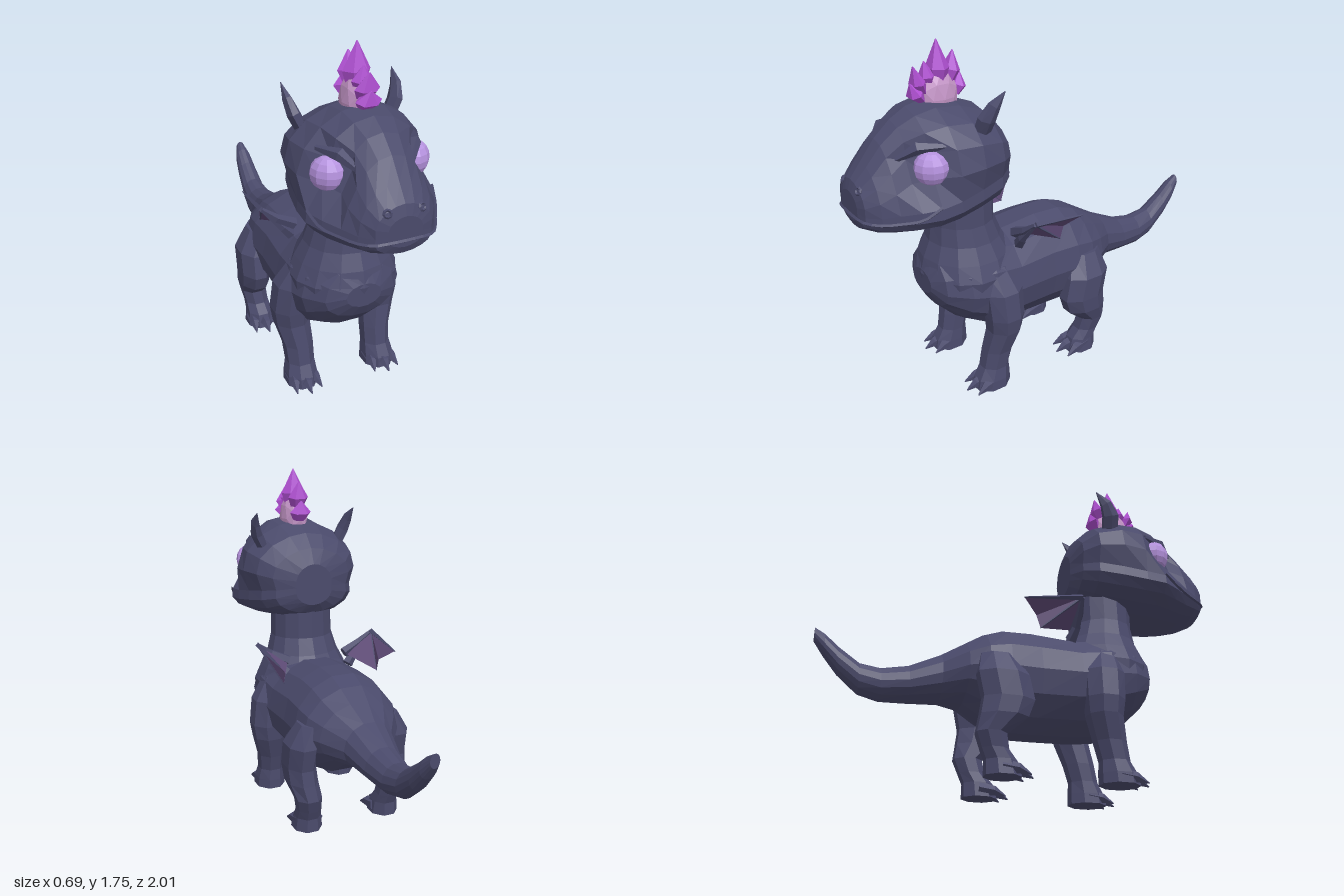
import * as THREE from 'three';

const mat = (name, color) => Object.assign(new THREE.MeshStandardMaterial({ color }), { name });
const V = (x, y, z) => new THREE.Vector3(x, y, z);

export function createModel() {
  const root = new THREE.Group();
  root.name = 'dragon';
  const skin = mat('slate skin', 0x4a4a6b);
  const eyeLilac = mat('lilac eye', 0xb592de);
  const crystal = mat('magenta crystal', 0xae4fd0);
  const crystalCore = mat('pale pink crystal', 0xc596c8);
  const webbing = mat('plum webbing', 0x5e4a76);
  webbing.side = THREE.DoubleSide;

  const add = (name, geo, material) => {
    const g = geo.index ? geo.toNonIndexed() : geo;
    g.computeVertexNormals(); // separate triangles give facets
    const mesh = new THREE.Mesh(g, material);
    mesh.name = name;
    root.add(mesh);
    return mesh;
  };

  // Closed skin over a list of rings, wound so that it faces outward
  const loft = (rings) => {
    const n = rings[0].length, tris = [];
    for (let i = 0; i < rings.length - 1; i++) {
      for (let j = 0; j < n; j++) {
        const k = (j + 1) % n, [p, q] = [rings[i], rings[i + 1]];
        tris.push([p[j], p[k], q[k]], [p[j], q[k], q[j]]);
      }
    }
    const cap = (ring, flip) => {
      const c = ring.reduce((s, p) => s.add(p), V(0, 0, 0)).divideScalar(n);
      ring.forEach((p, j) => {
        const q = ring[(j + 1) % n];
        tris.push(flip ? [c, q, p] : [c, p, q]);
      });
    };
    cap(rings[0], true);
    cap(rings[rings.length - 1], false);
    const o = rings[0][0];
    const volume = tris.reduce((s, [a, b, c]) =>
      s + a.clone().sub(o).dot(b.clone().sub(o).cross(c.clone().sub(o))), 0);
    const pts = tris.flatMap(([a, b, c]) => (volume < 0 ? [a, c, b] : [a, b, c]));
    return new THREE.BufferGeometry().setFromPoints(pts);
  };

  // Upright ring: z, top, widest height, bottom, half width, pinch of the upper half; jowl fills the lower half
  const zPoint = ([z, top, mid, bot, w, pinch = 0], a, jowl) => {
    const s = Math.sin(a), up = s >= 0;
    const k = (up ? pinch : -jowl) * Math.abs(Math.sin(2 * a));
    return V(w * Math.cos(a) * (1 - k), mid + s * (up ? top - mid : mid - bot), z);
  };
  const zRing = (sec, n, jowl) =>
    Array.from({ length: n }, (_, i) => zPoint(sec, (i / n) * Math.PI * 2, jowl));

  // Level ring: y, centre x, centre z, half width, half depth
  const yRing = ([y, cx, cz, rx, rz], n, side = 1) => Array.from({ length: n }, (_, i) => {
    const a = ((i + 0.5) / n) * Math.PI * 2;
    return V(side * (cx + rx * Math.cos(a)), y, cz + rz * Math.sin(a));
  });

  // Tapered rod along a path
  const taper = (path, radii, n = 5, squash = 1) => {
    const pts = path.map((p) => V(...p));
    const dir = pts[pts.length - 1].clone().sub(pts[0]).normalize();
    const ref = Math.abs(dir.z) > 0.8 ? V(0, 1, 0) : V(0, 0, 1);
    return loft(pts.map((p, i) => {
      const t = pts[Math.min(i + 1, pts.length - 1)].clone().sub(pts[Math.max(i - 1, 0)]).normalize();
      const u = t.clone().cross(ref).normalize(), v = t.clone().cross(u);
      return Array.from({ length: n }, (_, j) => {
        const a = (j / n) * Math.PI * 2;
        return p.clone().addScaledVector(u, radii[i] * squash * Math.cos(a)).addScaledVector(v, radii[i] * Math.sin(a));
      });
    }));
  };

  // Torso running into the upturned tail
  add('bodyAndTail', loft([
    [0.67, 0.64, 0.58, 0.52, 0.09], [0.63, 0.73, 0.56, 0.45, 0.18], [0.53, 0.78, 0.55, 0.35, 0.255],
    [0.40, 0.80, 0.53, 0.27, 0.285], [0.25, 0.77, 0.52, 0.255, 0.275], [0.05, 0.79, 0.52, 0.25, 0.265],
    [-0.10, 0.785, 0.52, 0.25, 0.27], [-0.20, 0.75, 0.52, 0.32, 0.26], [-0.29, 0.695, 0.52, 0.38, 0.215],
    [-0.40, 0.63, 0.50, 0.39, 0.135], [-0.55, 0.56, 0.46, 0.38, 0.10], [-0.68, 0.535, 0.45, 0.375, 0.08],
    [-0.78, 0.55, 0.475, 0.40, 0.065], [-0.88, 0.62, 0.55, 0.485, 0.055],
    [-0.95, 0.68, 0.62, 0.57, 0.045], [-1, 0.71, 0.675, 0.64, 0.025],
  ].map((s) => zRing(s, 14, 0))), skin);

  // Neck
  add('neck', loft([
    [0.52, 0, 0.44, 0.26, 0.22], [0.62, 0, 0.435, 0.27, 0.24], [0.70, 0, 0.43, 0.235, 0.225], [0.78, 0, 0.435, 0.195, 0.185],
    [0.87, 0, 0.445, 0.17, 0.16], [1.02, 0, 0.445, 0.165, 0.16],
  ].map((s) => yRing(s, 14))), skin);

  // Head, with the sides pressed in for the eye sockets
  const jowl = 0.12;
  const headSections = [
    [0.255, 1.28, 1.16, 1.06, 0.10, -0.1], [0.29, 1.36, 1.15, 1.01, 0.20, -0.25],
    [0.36, 1.43, 1.14, 0.975, 0.255, -0.28], [0.48, 1.48, 1.12, 0.955, 0.285, -0.27],
    [0.60, 1.495, 1.10, 0.94, 0.303, -0.12], [0.70, 1.475, 1.09, 0.935, 0.305, 0.03],
    [0.78, 1.43, 1.08, 0.93, 0.27, 0.2], [0.86, 1.36, 1.07, 0.935, 0.222, 0.14],
    [0.93, 1.27, 1.06, 0.95, 0.18, 0], [0.985, 1.20, 1.06, 0.975, 0.13, -0.1],
    [1.0, 1.15, 1.07, 1.01, 0.08, -0.1],
  ];
  add('head', loft(headSections.map((s) => zRing(s, 20, jowl).map((p) => {
    const d = V(Math.abs(p.x), p.y, p.z).distanceTo(V(0.24, 1.25, 0.73)) / 0.14;
    if (d < 1) p.x -= Math.sign(p.x) * 0.065 * (1 - d * d);
    return p;
  }))), skin);

  // Lip following the jaw round the snout
  const lip = [1.10, 1.05, 1.035, 1.03, 1.035, 1.04].map((y, i) => {
    const s = headSections[i + 5], h = y - s[2];
    return zPoint(s, Math.asin(h / (h > 0 ? s[1] - s[2] : s[2] - s[3])), jowl);
  });
  const lipPath = [...lip, ...lip.slice().reverse().map((p) => V(-p.x, p.y, p.z))];
  add('lip', new THREE.TubeGeometry(new THREE.CatmullRomCurve3(lipPath), 24, 0.008, 4), skin);

  // Crystal crest: base z and y, tip z and y, radius, sideways width factor
  const core = add('crestCore', new THREE.IcosahedronGeometry(1, 1), crystalCore);
  core.position.set(0, 1.49, 0.535);
  core.scale.set(0.07, 0.135, 0.1);
  [
    [0.62, 1.49, 0.67, 1.57, 0.035, 1.8], [0.61, 1.52, 0.65, 1.645, 0.032, 1.9], [0.53, 1.54, 0.53, 1.75, 0.05, 1.35],
    [0.575, 1.55, 0.595, 1.66, 0.035, 1.5], [0.48, 1.55, 0.45, 1.69, 0.038, 1.5], [0.45, 1.49, 0.42, 1.59, 0.035, 1.7],
  ].forEach(([z0, y0, z1, y1, r, wide]) => {
    add('crestSpike', taper([
      [0, y0, z0], [0, y0 + (y1 - y0) * 0.4, z0 + (z1 - z0) * 0.6], [0, y1, z1],
    ], [r * 0.6, r, 0.002], 6, wide), crystal);
  });

  // Paired parts
  for (const s of [1, -1]) {
    const m = (path) => path.map(([x, y, z]) => [s * x, y, z]);

    const eye = add('eye', new THREE.SphereGeometry(1, 10, 8), eyeLilac);
    eye.position.set(s * 0.21, 1.25, 0.697);
    eye.scale.set(0.08, 0.078, 0.064);
    eye.rotation.y = s * 0.85;

    add('brow', taper(m([[0.12, 1.29, 0.82], [0.175, 1.345, 0.74], [0.232, 1.345, 0.63]]), [0.012, 0.03, 0.012]), skin);
    add('horn', taper(m([[0.22, 1.37, 0.44], [0.25, 1.43, 0.435], [0.266, 1.49, 0.405], [0.273, 1.55, 0.35]]),
      [0.045, 0.047, 0.034, 0.002], 6, 0.65), skin);

    const nostril = add('nostril', new THREE.TorusGeometry(0.015, 0.007, 4, 8), skin);
    nostril.position.set(s * 0.08, 1.17, 0.985);
    nostril.rotation.set(-0.4, s * 0.3, 0);

    add('frontLeg', loft([
      [0, 0.215, 0.425, 0.085, 0.1], [0.05, 0.215, 0.42, 0.082, 0.095], [0.11, 0.212, 0.405, 0.073, 0.075],
      [0.2, 0.215, 0.385, 0.077, 0.08], [0.32, 0.235, 0.355, 0.092, 0.09], [0.4, 0.245, 0.355, 0.095, 0.1],
      [0.54, 0.235, 0.36, 0.088, 0.105], [0.66, 0.19, 0.38, 0.055, 0.08],
    ].map((r) => yRing(r, 8, s))), skin);

    add('hindLeg', loft([
      [0, 0.22, -0.135, 0.078, 0.09], [0.07, 0.22, -0.145, 0.07, 0.078], [0.12, 0.225, -0.175, 0.065, 0.068],
      [0.19, 0.235, -0.195, 0.07, 0.075], [0.27, 0.25, -0.14, 0.08, 0.12], [0.35, 0.255, -0.12, 0.08, 0.13],
      [0.47, 0.25, -0.145, 0.085, 0.13], [0.58, 0.2, -0.16, 0.07, 0.09],
    ].map((r) => yRing(r, 8, s))), skin);

    // Toes with pointed claws
    for (const [name, z] of [['frontToe', 0.57], ['hindToe', 0.01]]) {
      for (const dx of [-0.055, 0, 0.055]) {
        const end = z - Math.abs(dx) * 0.5;
        add(name, taper(m([[0.215 + dx * 0.8, 0.04, end - 0.13], [0.215 + dx, 0.03, end - 0.055], [0.215 + dx * 1.2, 0.006, end]]),
          [0.035, 0.025, 0.003]), skin);
      }
    }

    // Small folded wing: webbing between an arm and two fingers
    const joint = [0.165, 0.78, 0.235], wrist = [0.33, 0.885, 0.23], back = [0.32, 0.85, -0.06], low = [0.265, 0.725, 0.035];
    const mid = [0.265, 0.79, 0.015];
    const web = [wrist, back, mid, wrist, mid, low, wrist, low, joint];
    add('wingWebbing', new THREE.BufferGeometry().setFromPoints(m(web).map((p) => V(...p))), webbing);
    add('wingArm', taper(m([joint, [0.26, 0.83, 0.24], wrist]), [0.03, 0.022, 0.012]), skin);
    add('wingFinger', taper(m([wrist, back]), [0.016, 0.004], 4), skin);
    add('wingFinger', taper(m([wrist, low]), [0.008, 0.003], 4), skin);
    add('wingStrut', taper(m([[0.18, 0.72, 0.22], [0.225, 0.77, 0.235], wrist]), [0.03, 0.022, 0.01]), skin);
  }
  return root;
}
